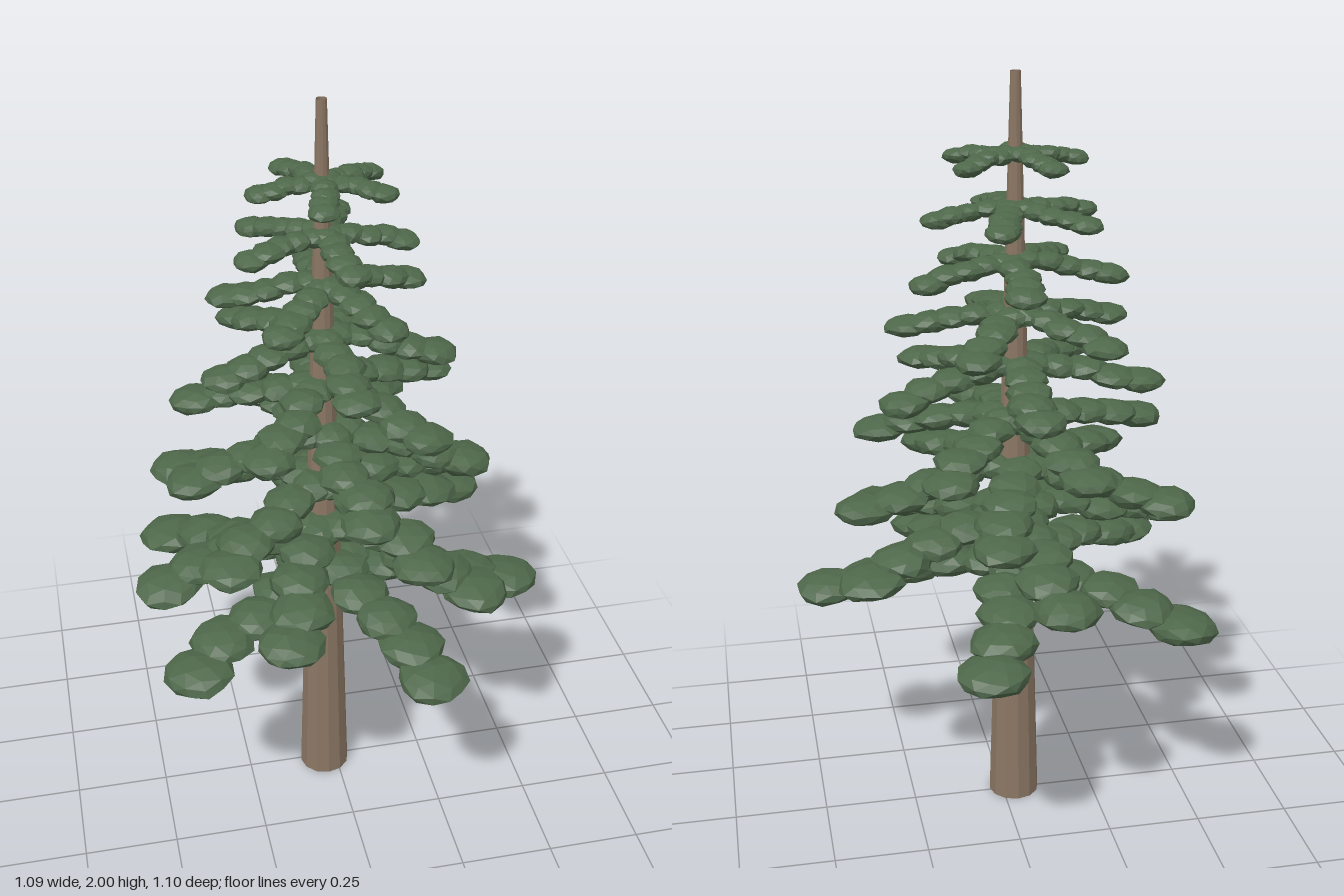
import * as THREE from 'three';

const bark = new THREE.MeshStandardMaterial({ color: 0x8a7663, flatShading: true, side: THREE.DoubleSide });
bark.name = 'bark brown';
const needles = new THREE.MeshStandardMaterial({ color: 0x4e674a, flatShading: true });
needles.name = 'needle green';

// Trunk axis, slightly off the middle of the crown
const AXIS_X = -0.033, AXIS_Z = 0.008;

// Tiers from the bottom up: tip height, inner height, reach, pad radius,
// and branch directions in degrees from +x towards +z
const TIERS = [
  { tip: 0.640, inner: 0.722, reach: 0.585, pad: 0.092, angles: [9, 68, 141, 220, 287] },
  { tip: 0.782, inner: 0.858, reach: 0.538, pad: 0.088, angles: [42, 112, 164, 265, 334] },
  { tip: 0.930, inner: 0.993, reach: 0.490, pad: 0.081, angles: [65, 135, 209, 285, 348] },
  { tip: 1.070, inner: 1.130, reach: 0.436, pad: 0.074, angles: [20, 83, 165, 252, 306] },
  { tip: 1.217, inner: 1.265, reach: 0.386, pad: 0.067, angles: [50, 125, 190, 270, 340] },
  { tip: 1.359, inner: 1.400, reach: 0.338, pad: 0.060, angles: [15, 85, 160, 230, 300] },
  { tip: 1.505, inner: 1.537, reach: 0.287, pad: 0.053, angles: [60, 125, 192, 275, 345] },
  { tip: 1.646, inner: 1.670, reach: 0.240, pad: 0.046, angles: [5, 80, 160, 220, 290] },
  { tip: 1.788, inner: 1.804, reach: 0.190, pad: 0.039, angles: [30, 100, 175, 245, 330] },
];
const PADS_PER_BRANCH = 5;

// Small seeded generator giving values in -1..1
let seed = 7;
function jitter() {
  seed = (seed * 16807) % 2147483647;
  return (seed / 2147483647) * 2 - 1;
}

// Rounded lump whose corners are pushed in or out by a rule of their direction
const lump = new THREE.IcosahedronGeometry(1, 1);
const corners = lump.attributes.position;
const corner = new THREE.Vector3();
for (let i = 0; i < corners.count; i++) {
  corner.fromBufferAttribute(corners, i);
  const push = 1 + 0.07 * Math.sin(5 * corner.x + 7 * corner.y + 9 * corner.z);
  corners.setXYZ(i, corner.x * push, corner.y * push, corner.z * push);
}

// One flattened, faceted clump of needles
function makePad(radius, thickness) {
  const geometry = lump.clone();
  geometry.rotateX(jitter() * Math.PI);
  geometry.rotateZ(jitter() * Math.PI);
  geometry.scale(radius, thickness, radius);
  const pad = new THREE.Mesh(geometry, needles);
  pad.name = 'needlePad';
  return pad;
}

// A drooping row of pads pointing along +x, growing towards the tip
function makeBranch(tier) {
  const branch = new THREE.Group();
  branch.name = 'branch';
  const tipDistance = tier.reach - tier.pad;
  for (let i = 0; i < PADS_PER_BRANCH; i++) {
    const t = i / (PADS_PER_BRANCH - 1);
    const radius = tier.pad * (0.8 + 0.18 * t);
    const pad = makePad(radius, 0.006 + tier.pad * 0.34);
    pad.position.set(
      tipDistance * (0.14 + 0.86 * t),
      THREE.MathUtils.lerp(tier.inner, tier.tip, Math.pow(t, 1.5)) + jitter() * 0.004,
      i < PADS_PER_BRANCH - 1 ? jitter() * tier.pad * 0.2 : 0
    );
    pad.rotation.z = -0.06;
    branch.add(pad);
  }
  return branch;
}

export function createModel() {
  const model = new THREE.Group();
  model.name = 'coniferTree';

  // Tapered trunk, open at the ends
  const trunk = new THREE.Mesh(new THREE.CylinderGeometry(0.013, 0.069, 2, 12, 1, true), bark);
  trunk.name = 'trunk';
  trunk.position.set(AXIS_X, 1, AXIS_Z);
  model.add(trunk);

  // Tiers of branches around the trunk
  TIERS.forEach((tier, index) => {
    const whorl = new THREE.Group();
    whorl.name = 'branchTier' + (index + 1);
    whorl.position.set(AXIS_X, 0, AXIS_Z);
    for (const angle of tier.angles) {
      const branch = makeBranch(tier);
      branch.rotation.y = -THREE.MathUtils.degToRad(angle);
      whorl.add(branch);
    }
    model.add(whorl);
  });

  return model;
}
